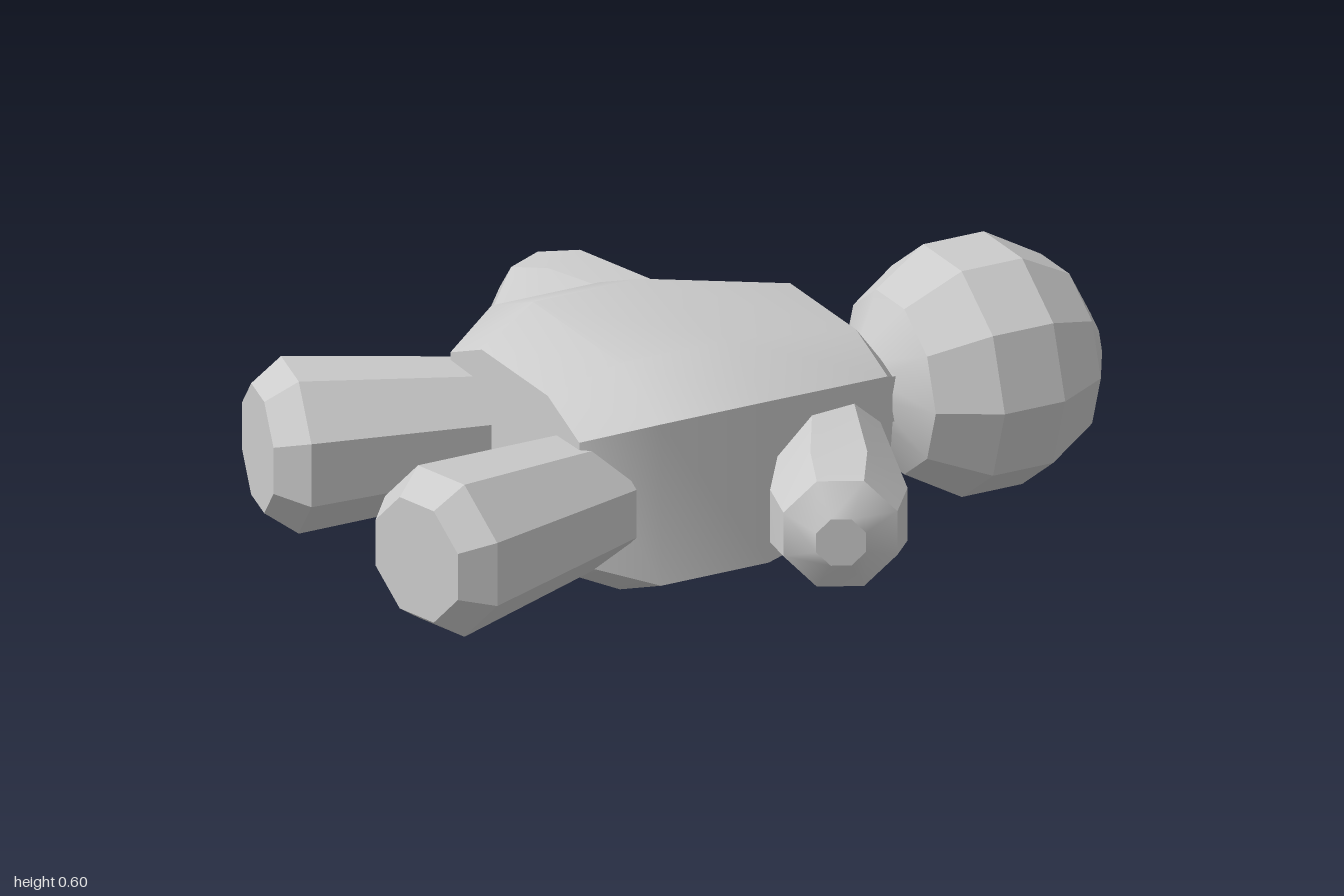
import * as THREE from 'three';
import { toCreasedNormals } from 'three/addons/utils/BufferGeometryUtils.js';

// Regular polygon ring, scaled so that its flats (or corners) lie at radius 1.
function polygon(sides, turn, radius) {
  return Array.from({ length: sides }, (_, i) => {
    const a = (i + turn) / sides * Math.PI * 2;
    return [Math.cos(a) * radius, Math.sin(a) * radius];
  });
}

// Closed loft along +Y: one profile, scaled at each [height, scale] section.
function loft(profile, sections, crease) {
  const n = profile.length, pos = [], index = [];
  for (const [y, s] of sections) for (const [x, z] of profile) pos.push(x * s, y, z * s);
  const last = (sections.length - 1) * n;
  const bottom = sections.length * n, top = bottom + 1;
  pos.push(0, sections[0][0], 0, 0, sections[sections.length - 1][0], 0);
  for (let i = 0; i < n; i++) {
    const j = (i + 1) % n;
    for (let k = 0; k < last; k += n) {
      index.push(k + i, k + n + i, k + j, k + j, k + n + i, k + n + j);
    }
    index.push(bottom, i, j, top, last + j, last + i);
  }
  const g = new THREE.BufferGeometry();
  g.setAttribute('position', new THREE.Float32BufferAttribute(pos, 3));
  g.setIndex(index);
  return toCreasedNormals(g, crease);
}

export function createModel() {
  const material = new THREE.MeshStandardMaterial({ color: 0xcccccc });
  // Doll space: +Y towards the head, +X to its side, +Z upwards from the ground.
  const doll = new THREE.Group();
  doll.name = 'doll';
  const add = (name, geometry, x = 0, y = 0, z = 0, turn = 0) => {
    const mesh = new THREE.Mesh(geometry, material);
    mesh.name = name;
    mesh.position.set(x, y, z);
    mesh.rotation.z = turn;
    doll.add(mesh);
  };

  // Torso: flattened octagon, narrowing to the hips and the neck
  const torso = [
    [0.42, -0.21], [0.42, 0.21], [0.215, 0.295], [-0.215, 0.295],
    [-0.42, 0.21], [-0.42, -0.21], [-0.215, -0.295], [0.215, -0.295],
  ];
  add('torso', loft(torso, [
    [-0.366, 0.76], [-0.197, 1], [0.098, 1], [0.48, 0.76], [0.605, 0.28], [0.7, 0.28],
  ], 0.6));

  // Head: faceted ball with small flat poles
  const rings = [-75, -45, -15, 15, 45, 75].map((d) => {
    const a = THREE.MathUtils.degToRad(d);
    return [Math.sin(a) * 0.32, Math.cos(a) * 0.32];
  });
  add('head', loft(polygon(10, 0, 1), rings, 0.45), 0, 0.89, -0.01);

  // Limbs: octagonal, widening towards blunt ends
  const octagon = polygon(8, 0.5, 1 / Math.cos(Math.PI / 8));
  const leg = loft(octagon, [[0, 0.15], [0.5, 0.198], [0.58, 0.145]], 0.6);
  const arm = loft(octagon, [[0, 0.11], [0.5, 0.165], [0.615, 0.137], [0.67, 0.06]], 0.6);
  for (const [side, s] of [['left', 1], ['right', -1]]) {
    add(side + 'Leg', leg, s * 0.255, -0.29, -0.018, s * -2.9);
    add(side + 'Arm', arm, s * 0.452, 0.374 - 0.228 + 0.228, 0, s * -2.044);
    doll.children[doll.children.length - 1].position.x = s * 0.235;
  }

  // Lay the doll down, turned on the ground
  doll.applyMatrix4(new THREE.Matrix4().makeBasis(
    new THREE.Vector3(0.58, 0, 0.815).normalize(),
    new THREE.Vector3(0.815, 0, -0.58).normalize(),
    new THREE.Vector3(0, 1, 0),
  ).setPosition(-0.035, 0.305, -0.05));

  const model = new THREE.Group();
  model.add(doll);
  return model;
}
